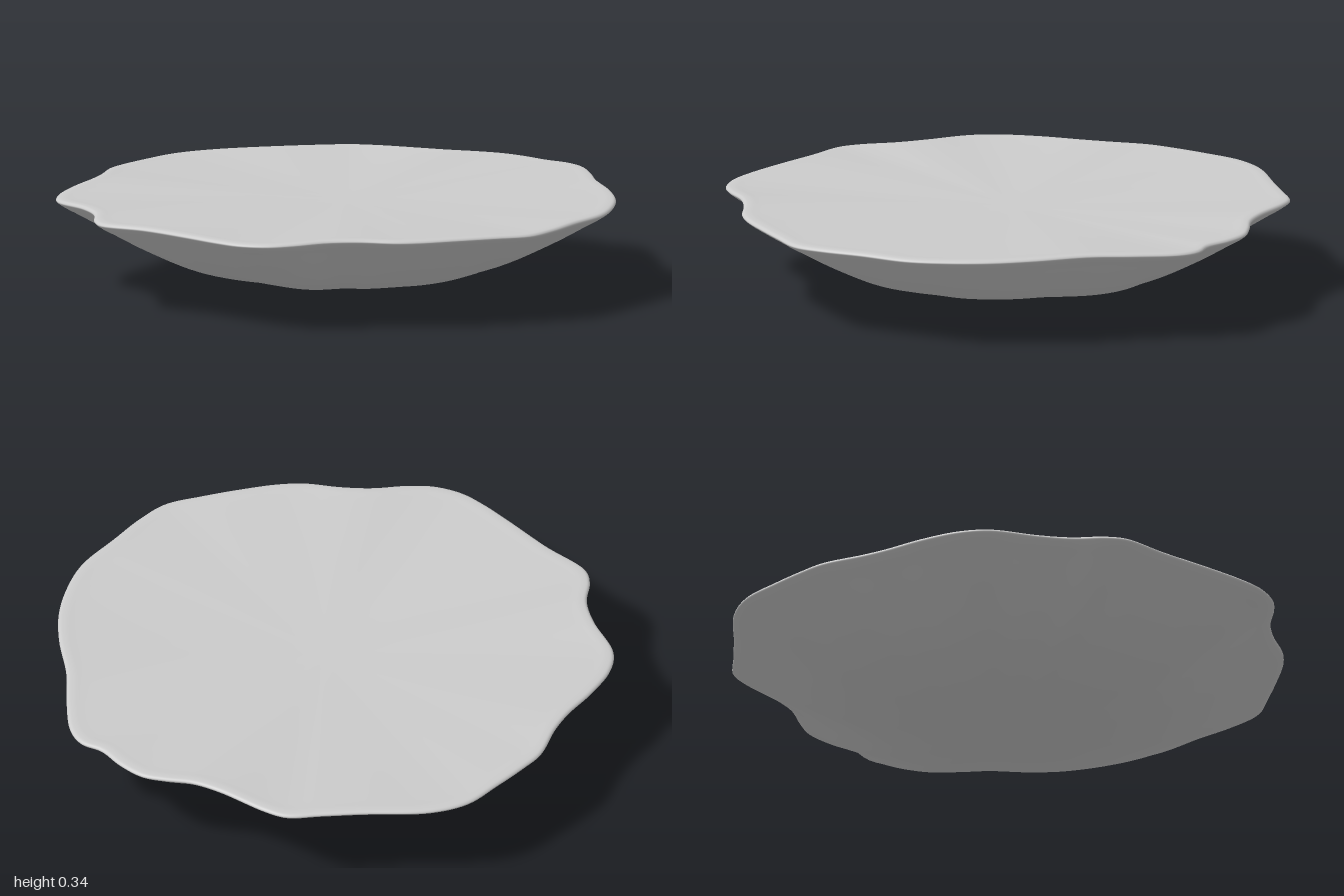
import * as THREE from 'three';

// Scalloped rim seen from above (x, z), clockwise from the left side
const RIM = [
  [0.97, -0.03], [0.945, 0.15], [0.925, 0.3], [0.89, 0.42], [0.8, 0.52], [0.7, 0.62],
  [0.6, 0.71], [0.52, 0.76], [0.4, 0.8], [0.3, 0.85], [0.2, 0.93], [0.12, 0.975],
  [0.02, 0.99], [-0.08, 0.97], [-0.2, 0.93], [-0.4, 0.86], [-0.58, 0.815], [-0.63, 0.76],
  [-0.68, 0.65], [-0.76, 0.56], [-0.9, 0.45], [-0.945, 0.35], [-0.955, 0.2], [-0.945, 0.05],
  [-0.95, -0.05], [-0.975, -0.2], [-0.96, -0.3], [-0.93, -0.43], [-0.89, -0.57], [-0.8, -0.68],
  [-0.6, -0.81], [-0.48, -0.89], [-0.38, -0.955], [-0.3, -0.965], [-0.1, -0.95], [0, -0.955],
  [0.1, -0.985], [0.18, -1], [0.28, -0.98], [0.38, -0.94], [0.46, -0.935], [0.53, -0.89],
  [0.62, -0.76], [0.7, -0.62], [0.82, -0.46], [0.9, -0.32], [0.95, -0.17],
];

// Cross-section (share of rim radius, height): underside, rounded lip, shallow top
const SECTION = [
  [0, 0.002], [0.1, 0.014], [0.2, 0.027], [0.4, 0.057], [0.6, 0.112], [0.8, 0.205], [0.93, 0.277],
  [0.985, 0.308], [1, 0.321], [0.994, 0.329], [0.975, 0.332], [0.93, 0.33],
  [0.7, 0.322], [0.4, 0.314], [0.15, 0.309], [0, 0.308],
];
const POLE = { x: -0.02, z: -0.05 };

function createDish() {
  const spokes = 282, rings = 90;
  const rim = new THREE.CatmullRomCurve3(RIM.map(([x, z]) => new THREE.Vector3(x, 0, z)), true)
    .getSpacedPoints(spokes).slice(0, spokes);
  const section = new THREE.CatmullRomCurve3(SECTION.map(([s, y]) => new THREE.Vector3(s, y, 0)));

  const positions = [], index = [];
  for (let j = 0; j <= rings; j++) {
    const p = section.getPoint(j / rings);
    for (const r of rim) {
      const dx = r.x - POLE.x, dz = r.z - POLE.z;
      // Pleats: longer lobes droop a little towards the rim
      const droop = 0.1 * (Math.hypot(dx, dz) - 0.96) * p.x * p.x;
      positions.push(POLE.x + dx * p.x, p.y - droop, POLE.z + dz * p.x);
    }
  }
  for (let j = 0; j < rings; j++) {
    for (let i = 0; i < spokes; i++) {
      const k = (i + 1) % spokes;
      const a = j * spokes + i, b = a + spokes, c = j * spokes + k, d = c + spokes;
      if (j > 0) index.push(a, b, c);
      if (j < rings - 1) index.push(c, b, d);
    }
  }
  const geometry = new THREE.BufferGeometry();
  geometry.setAttribute('position', new THREE.Float32BufferAttribute(positions, 3));
  geometry.setIndex(index);
  geometry.computeVertexNormals();
  return geometry;
}

export function createModel() {
  const group = new THREE.Group();
  group.name = 'scallopedDish';
  const dish = new THREE.Mesh(createDish(), new THREE.MeshStandardMaterial({ color: 0xcccccc }));
  dish.name = 'pleatedDish';
  group.add(dish);
  return group;
}
